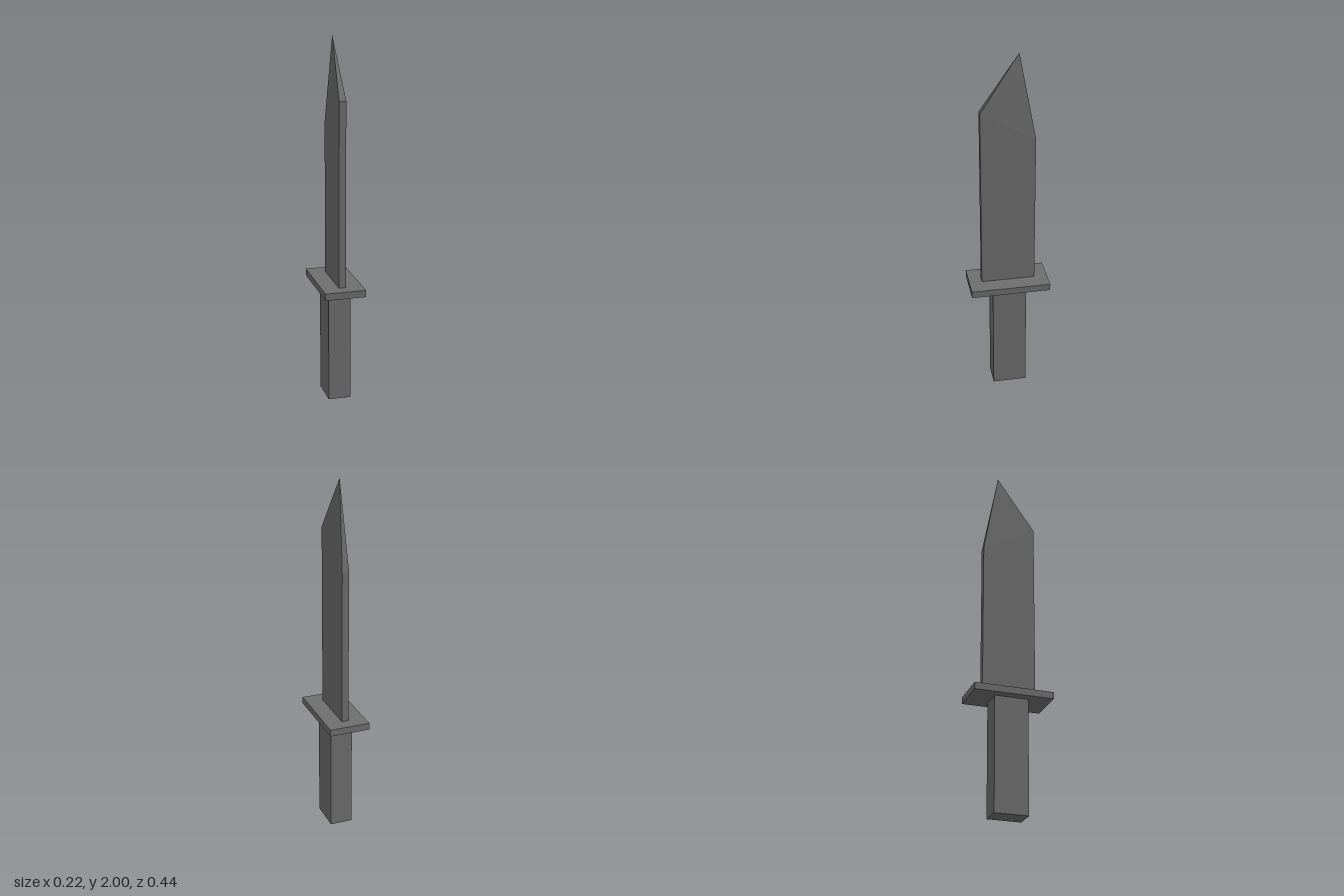
import * as THREE from 'three';

const material = new THREE.MeshStandardMaterial({ color: 0x6f6f6f, flatShading: true });

// Box standing between two heights
function block(name, width, depth, bottom, top) {
  const mesh = new THREE.Mesh(new THREE.BoxGeometry(width, top - bottom, depth), material);
  mesh.name = name;
  mesh.position.y = (bottom + top) / 2;
  return mesh;
}

// Flat bar whose four sides close into an off-centre point
function bladeGeometry() {
  const halfWidth = 0.019, front = 0.148, back = -0.147;
  const base = 0.67, frontShoulder = 1.685, backShoulder = 1.523;
  const corners = [[1, front], [1, back], [-1, back], [-1, front]];
  const points = [];
  for (const [side, z] of corners) points.push(side * halfWidth, base, z);
  for (const [side, z] of corners) {
    points.push(side * halfWidth, z > 0 ? frontShoulder : backShoulder, z);
  }
  points.push(0, 2, -0.06); // tip
  const faces = [0, 2, 1, 0, 3, 2]; // base
  for (let i = 0; i < 4; i++) {
    const j = (i + 1) % 4;
    faces.push(i, j, j + 4, i, j + 4, i + 4, i + 4, j + 4, 8);
  }
  const indexed = new THREE.BufferGeometry();
  indexed.setAttribute('position', new THREE.Float32BufferAttribute(points, 3));
  indexed.setIndex(faces);
  const geometry = indexed.toNonIndexed();
  geometry.computeVertexNormals();
  return geometry;
}

export function createModel() {
  const knife = new THREE.Group();
  knife.name = 'knife';
  const blade = new THREE.Mesh(bladeGeometry(), material);
  blade.name = 'blade';
  knife.add(
    block('handle', 0.124, 0.186, 0, 0.632),
    block('guard', 0.225, 0.436, 0.632, 0.67),
    blade
  );
  return knife;
}
